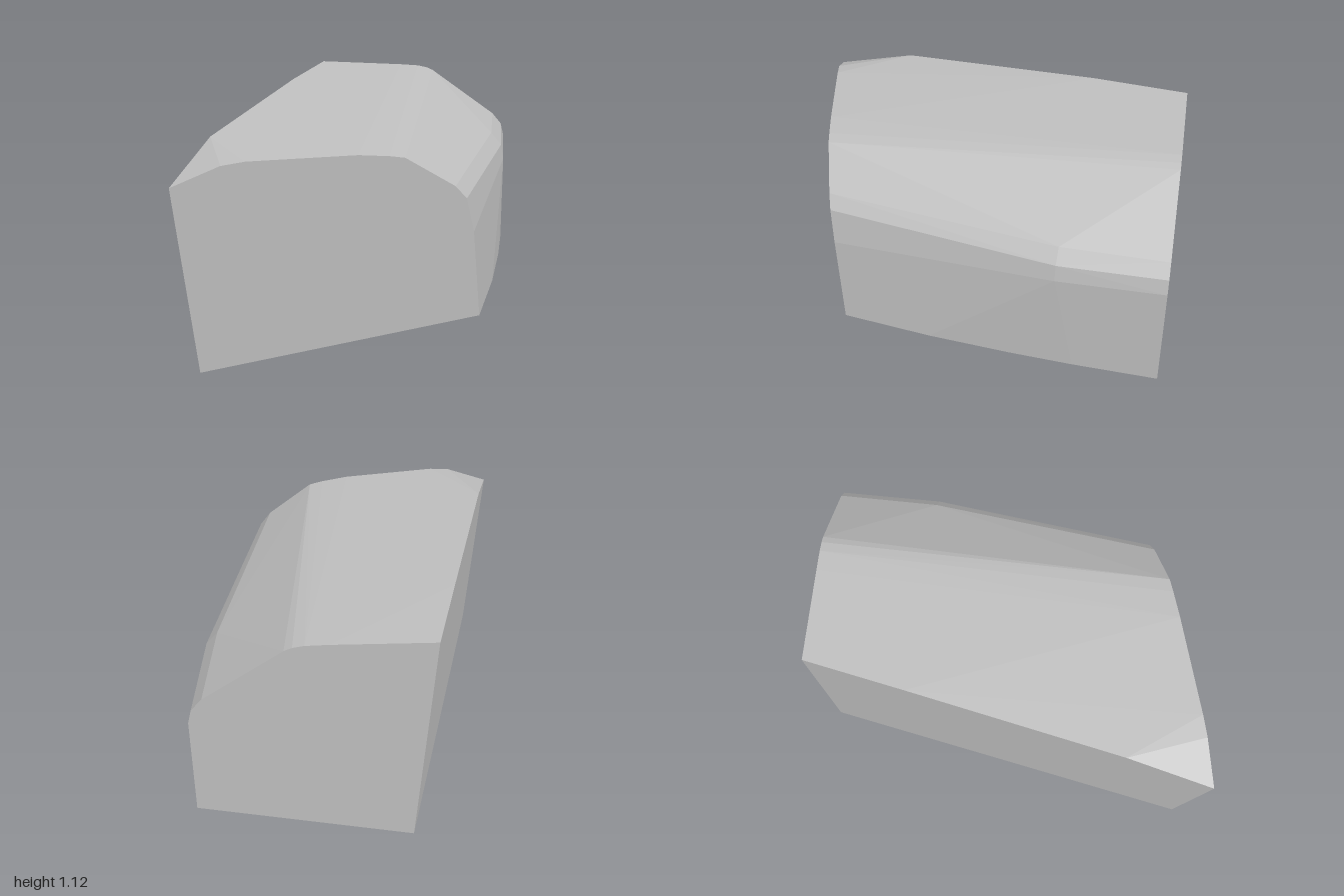
import * as THREE from 'three';
import { ConvexGeometry } from 'three/addons/geometries/ConvexGeometry.js';

// The flat cut planes that bound the block
const frontZ = (x, y) => 0.730 - 0.319 * x + 0.0592 * y;
const backZ = (x, y) => -0.960 - 0.0615 * x + 0.0054 * y;
const leftX = (y, z) => -0.4695 - 0.0659 * y - 0.1515 * z;
const bottomY = (x, z) => 0.0997 + 0.1695 * x + 0.0094 * z;

export function createModel() {
  const stone = new THREE.MeshStandardMaterial({ color: 0xbfbfbf });
  stone.name = 'light grey stone';
  const v = (x, y, z) => new THREE.Vector3(x, y, z);

  // Outline of the front cut
  const front = [
    [-0.61, 0.005], [0.62, 0.21], [0.585, 0.63], [0.55, 0.79], [0.5, 0.85],
    [0.285, 0.99], [0.22, 1.0], [0.09, 1.01], [-0.37, 1.0], [-0.47, 0.985], [-0.68, 0.895],
  ].map(([x, y]) => v(x, y, frontZ(x, y)));

  // Outline of the back cut
  const back = [
    [-0.33, 0.035], [0.66, 0.202], [0.657, 0.7], [0.64, 0.77], [0.59, 0.83],
    [0.235, 1.08], [0.2, 1.095], [0.15, 1.105], [0.05, 1.11], [-0.402, 1.12],
  ].map(([x, y]) => v(x, y, backZ(x, y)));

  // Rising upper edge of the flat side
  const upperEdge = [[1.02, 0.58], [1.05, 0.15], [1.10, -0.45]]
    .map(([y, z]) => v(leftX(y, z), y, z));

  // Slight bulge along the rounded side
  const lowerEdge = [[0.66, 0.1], [0.674, -0.3], [0.674, -0.6]]
    .map(([x, z]) => v(x, bottomY(x, z), z));
  const shoulder = [v(0.675, 0.69, -0.5), v(0.66, 0.765, -0.5), v(0.605, 0.83, -0.5)];

  const geometry = new ConvexGeometry([...front, ...back, ...upperEdge, ...lowerEdge, ...shoulder]);
  const block = new THREE.Mesh(geometry, stone);
  block.name = 'roundedStoneBlock';

  const group = new THREE.Group();
  group.name = 'stoneBlock';
  group.add(block);
  return group;
}
